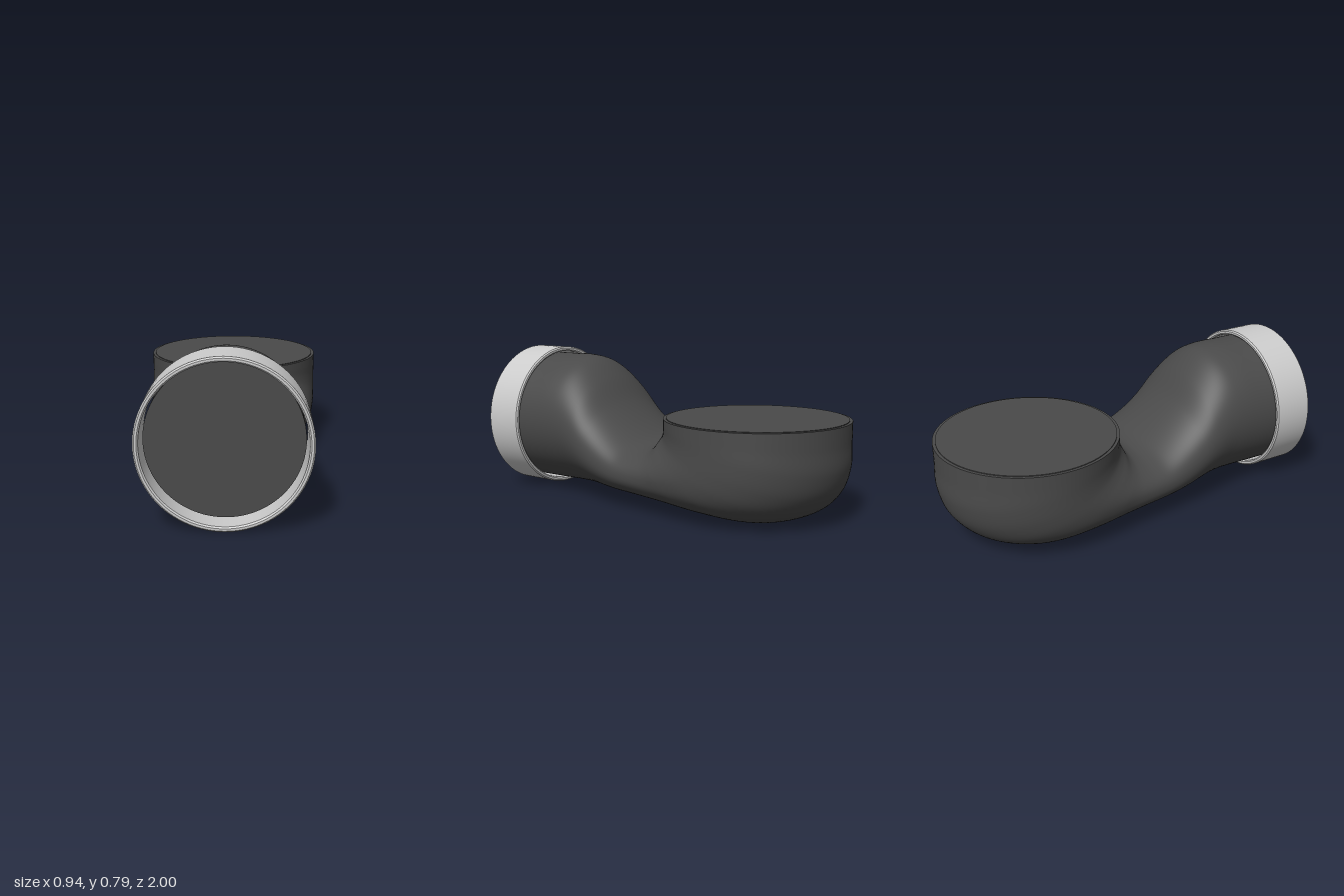
import * as THREE from 'three';
import { toCreasedNormals } from 'three/addons/utils/BufferGeometryUtils.js';

const AROUND = 96, ALONG = 130;

// Each section of the duct: [topZ, topY, bottomZ, bottomY, halfWidth, roundness (1 = ellipse)]
const SECTIONS = [
  [0.91, 0.757, 0.91, 0.037, 0.36, 1],
  [0.75, 0.757, 0.75, 0.038, 0.36, 1],
  [0.60, 0.757, 0.62, 0.040, 0.36, 1],
  [0.50, 0.732, 0.53, 0.041, 0.36, 1],
  [0.40, 0.645, 0.44, 0.042, 0.364, 0.99],
  [0.30, 0.515, 0.35, 0.043, 0.367, 0.97],
  [0.20, 0.420, 0.27, 0.043, 0.371, 0.94],
  [0.10, 0.352, 0.17, 0.043, 0.377, 0.91],
  [0.03, 0.330, 0.03, 0.041, 0.388, 0.88],
  [-0.02, 0.335, -0.20, 0.028, 0.408, 0.87],
  [-0.045, 0.353, -0.45, 0.010, 0.435, 0.87],
  [-0.055, 0.382, -0.69, 0.006, 0.456, 0.90],
  [-0.059, 0.405, -0.86, 0.056, 0.467, 0.95],
  [-0.06, 0.425, -0.96, 0.150, 0.47, 0.99],
  [-0.06, 0.445, -1.00, 0.270, 0.47, 1],
  [-0.06, 0.470, -1.00, 0.390, 0.47, 1],
  [-0.06, 0.493, -1.00, 0.493, 0.47, 1],
];

// Smooth loft through the sections, swinging from upright to level
function ductGeometry() {
  const top = new THREE.CatmullRomCurve3(
    SECTIONS.map(s => new THREE.Vector3(s[5], s[1], s[0])), false, 'catmullrom', 0.5);
  const bottom = new THREE.CatmullRomCurve3(
    SECTIONS.map(s => new THREE.Vector3(s[4], s[3], s[2])), false, 'catmullrom', 0.5);
  const bend = (v, e) => Math.sign(v) * Math.pow(Math.abs(v), e);
  const position = [], index = [];
  for (let i = 0; i <= ALONG; i++) {
    const t = top.getPoint(i / ALONG), b = bottom.getPoint(i / ALONG);
    for (let j = 0; j < AROUND; j++) {
      const a = (j / AROUND) * Math.PI * 2;
      const c = bend(Math.cos(a), t.x), s = bend(Math.sin(a), t.x);
      position.push(
        b.x * s,
        (t.y + b.y) / 2 + c * (t.y - b.y) / 2,
        (t.z + b.z) / 2 + c * (t.z - b.z) / 2);
      if (i === ALONG) continue;
      const p = i * AROUND + j, q = i * AROUND + (j + 1) % AROUND;
      index.push(p, q, p + AROUND, q, q + AROUND, p + AROUND);
    }
  }
  const geometry = new THREE.BufferGeometry();
  geometry.setAttribute('position', new THREE.Float32BufferAttribute(position, 3));
  geometry.setIndex(index);
  geometry.computeVertexNormals();
  return geometry;
}

// Collar band with slightly eased edges
function collarGeometry() {
  const outer = 0.395, inner = 0.37, half = 0.11, e = 0.007;
  const profile = [
    [inner + e, -half], [outer - e, -half], [outer, -half + e], [outer, half - e],
    [outer - e, half], [inner + e, half], [inner, half - e], [inner, -half + e],
    [inner + e, -half],
  ].map(([r, y]) => new THREE.Vector2(r, y));
  return toCreasedNormals(new THREE.LatheGeometry(profile, 96), 0.6);
}

export function createModel() {
  const model = new THREE.Group();
  model.name = 'ductElbow';
  const dark = new THREE.MeshStandardMaterial({ color: 0x4a4a4a, side: THREE.DoubleSide });
  const grey = new THREE.MeshStandardMaterial({ color: 0xcccccc });

  const add = (name, geometry, material, x, y, z) => {
    const mesh = new THREE.Mesh(geometry, material);
    mesh.name = name;
    mesh.position.set(x, y, z);
    model.add(mesh);
    return mesh;
  };

  add('ductBody', ductGeometry(), dark, 0, 0, 0);

  // Round end closing the tube inside the collar
  add('frontCap', new THREE.CircleGeometry(0.36, AROUND), dark, 0, 0.397, 0.91);

  // Rim and slightly raised lid of the bowl
  add('bowlRim', new THREE.CircleGeometry(0.47, AROUND), dark, 0, 0.493, -0.53)
    .rotation.x = -Math.PI / 2;
  add('bowlLid', new THREE.CylinderGeometry(0.455, 0.455, 0.01, AROUND), dark, 0, 0.492, -0.53);

  // Loose collar around the tube end
  add('collar', collarGeometry(), grey, 0, 0.396, 0.89).rotation.x = Math.PI / 2;

  return model;
}
